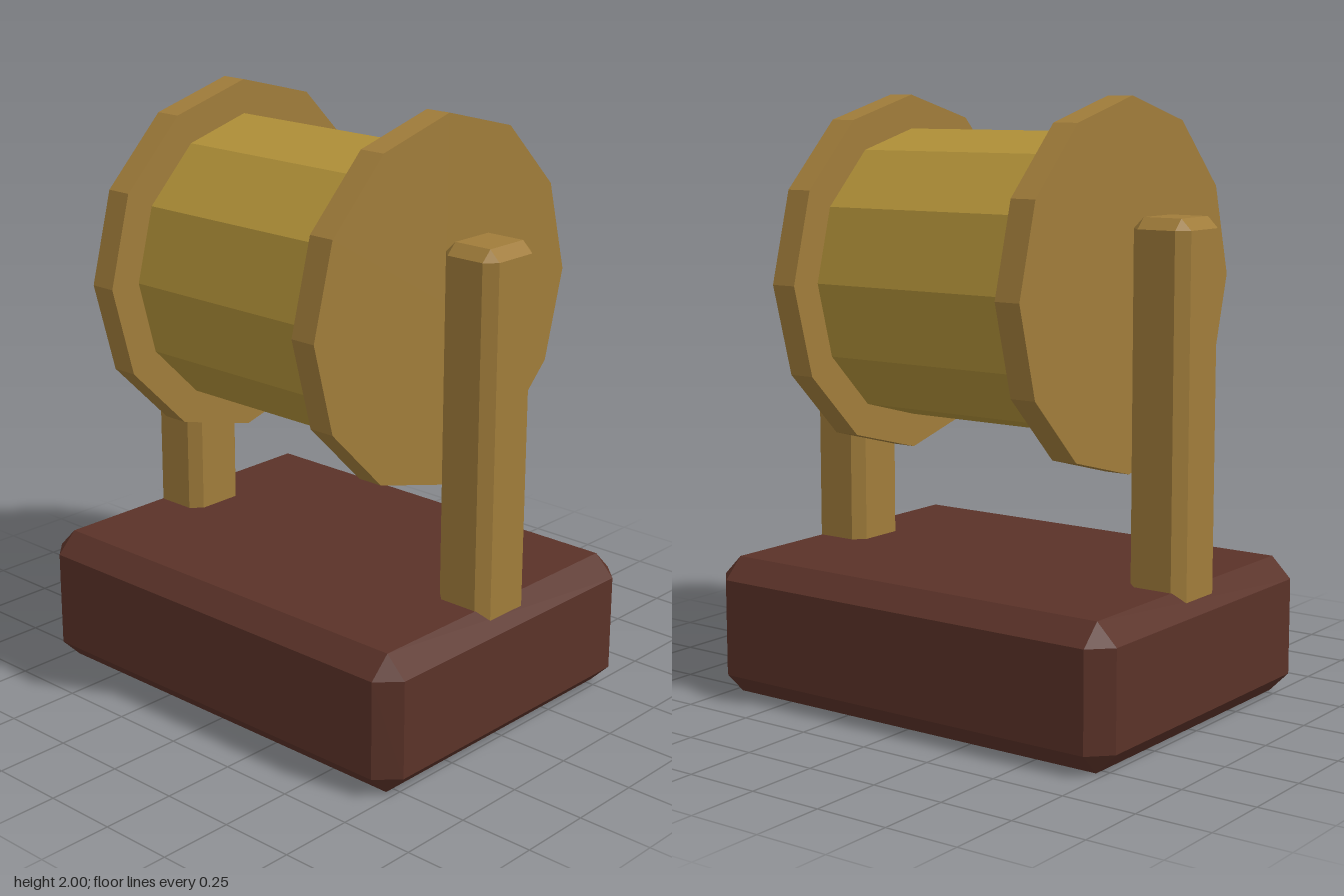
import * as THREE from 'three';
import { ConvexGeometry } from 'three/addons/geometries/ConvexGeometry.js';

const material = (color) => new THREE.MeshStandardMaterial({ color, flatShading: true });

// Box with every edge cut by a flat chamfer c
function chamferBox(w, h, d, c) {
  const points = [];
  for (const sx of [-1, 1]) for (const sy of [-1, 1]) for (const sz of [-1, 1]) {
    for (let axis = 0; axis < 3; axis++) {
      const half = [w / 2, h / 2, d / 2].map((v, i) => (i === axis ? v : v - c));
      points.push(new THREE.Vector3(sx * half[0], sy * half[1], sz * half[2]));
    }
  }
  return new ConvexGeometry(points);
}

// Twelve-sided cylinder lying along x
const roller = (radius, length) =>
  new THREE.CylinderGeometry(radius, radius, length, 12).rotateZ(Math.PI / 2);

export function createModel() {
  const model = new THREE.Group();
  model.name = 'drumOnStand';
  const darkWood = material(0x5a3228);
  const lightWood = material(0xa07c3a);
  const drumWood = material(0xb09038);

  const add = (name, geometry, mat, x, y) => {
    const mesh = new THREE.Mesh(geometry, mat);
    mesh.name = name;
    mesh.position.set(x, y, 0);
    model.add(mesh);
  };

  // Base block
  add('base', chamferBox(1.58, 0.467, 1.2, 0.07), darkWood, 0, 0.2335);

  // Drum between the end discs
  const axisY = 1.4;
  add('drum', roller(0.487, 0.8), drumWood, 0, axisY);

  // End discs and posts, mirrored
  for (const [side, s] of [['left', 1], ['right', -1]]) {
    add(side + 'Disc', roller(0.6, 0.09), lightWood, s * 0.441, axisY);
    add(side + 'Post', chamferBox(0.207, 1.26, 0.23, 0.036), lightWood, s * 0.65, 1.0);
  }
  return model;
}
